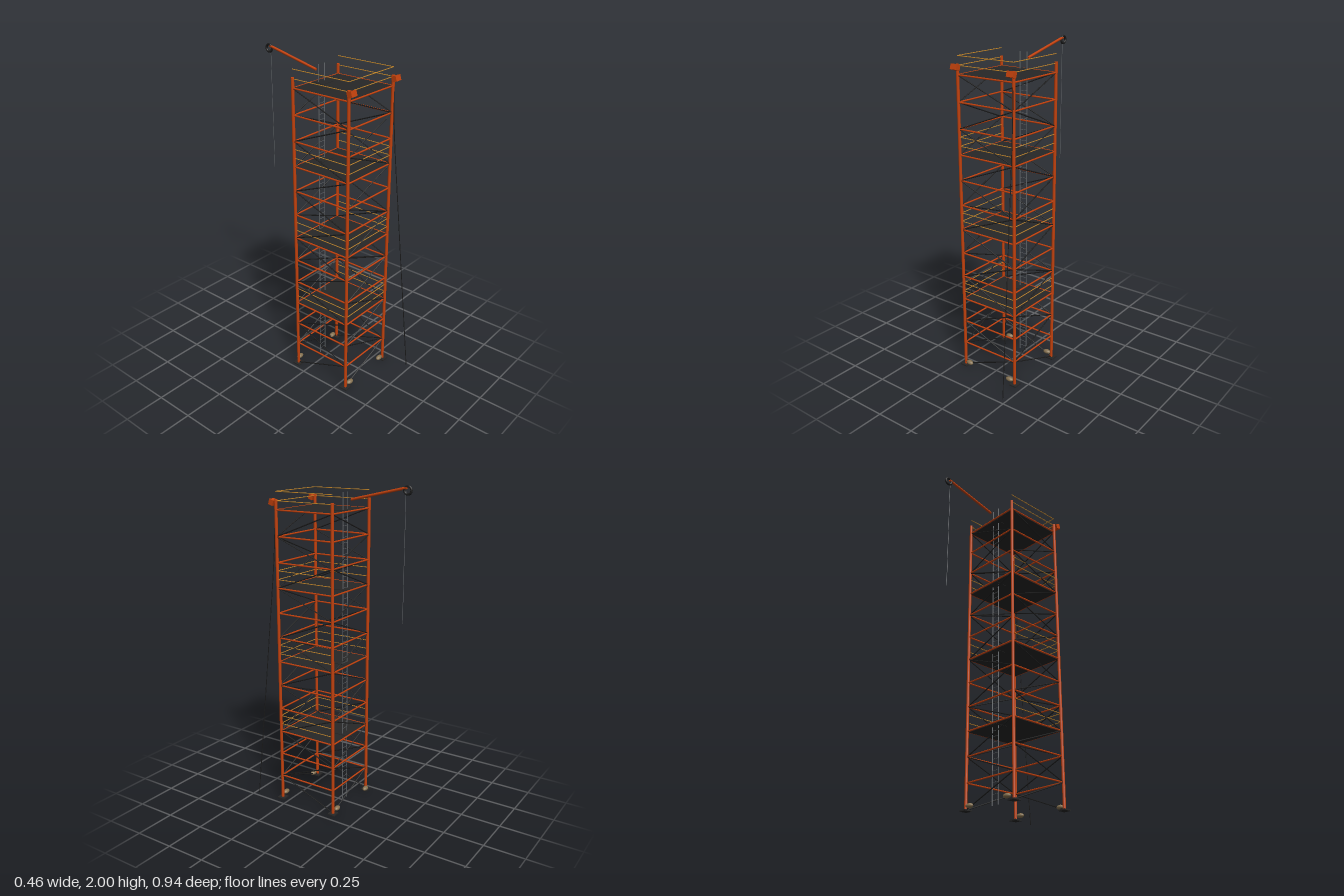
import * as THREE from 'three';

const mat = (name, color) => {
  const m = new THREE.MeshStandardMaterial({ color });
  m.name = name;
  return m;
};

export function createModel() {
  const orange = mat('orange paint', 0xc2410c);
  const deckGrey = mat('deck grey', 0x272727);
  const black = mat('black steel', 0x1c1c1c);
  const steel = mat('ladder steel', 0x666a6e);
  const ochre = mat('ochre rail', 0xc98a2b);
  const tan = mat('sandbag tan', 0x857150);

  const model = new THREE.Group();
  model.name = 'scaffoldTower';
  const V = (x, y, z) => new THREE.Vector3(x, y, z);

  const add = (name, geo, material, pos) => {
    const mesh = new THREE.Mesh(geo, material);
    mesh.name = name;
    if (pos) mesh.position.copy(pos);
    model.add(mesh);
    return mesh;
  };
  const box = (name, w, h, d, material, pos) => add(name, new THREE.BoxGeometry(w, h, d), material, pos);
  // Round bar between two points
  const bar = (name, a, b, r, material, sides = 8) => {
    const dir = b.clone().sub(a);
    const mesh = add(name, new THREE.CylinderGeometry(r, r, dir.length(), sides), material,
      a.clone().add(b).multiplyScalar(0.5));
    mesh.quaternion.setFromUnitVectors(V(0, 1, 0), dir.normalize());
    return mesh;
  };

  const X0 = -0.203, X1 = 0.186, Z0 = -0.084, Z1 = 0.305;
  const CX = (X0 + X1) / 2, CZ = (Z0 + Z1) / 2;
  const BAYS = 12;
  const level = (i) => 0.008 + 0.1527 * i;

  // Corner posts on base plates
  for (const x of [X0, X1]) for (const z of [Z0, Z1]) {
    bar('post', V(x, 0.006, z), V(x, 1.9, z), 0.0095, orange, 12);
    box('basePlate', 0.05, 0.008, 0.05, deckGrey, V(x, 0.004, z));
  }

  // Four sides; each starts where its lowest brace meets the ground
  const sides = [
    { name: 'front', a: [X0, Z1], b: [X1, Z1], rail: true },
    { name: 'left', a: [X1, Z0], b: [X1, Z1], rail: true },
    { name: 'back', a: [X1, Z0], b: [X0, Z0], rail: false },
    { name: 'right', a: [X0, Z0], b: [X0, Z1], rail: true },
  ];
  for (const { name, a, b, rail } of sides) {
    const A = (y) => V(a[0], y, a[1]), B = (y) => V(b[0], y, b[1]);
    for (let i = 0; i < BAYS; i++) {
      const lo = level(i), hi = level(i + 1);
      bar(name + 'Ledger', A(hi), B(hi), 0.005, orange);
      // Zigzag braces
      if (i % 2 === 0) bar(name + 'Brace', A(lo), B(hi), 0.0035, black, 6);
      else bar(name + 'Brace', B(lo), A(hi), 0.0035, black, 6);
    }
    // Guard rails above each deck
    if (rail) for (let i = 3; i <= BAYS; i += 3) for (const h of [0.052, 0.105])
      bar(name + 'GuardRail', A(level(i) + h), B(level(i) + h), 0.0024, ochre, 8);
  }

  // Decks with hatch plates
  for (let i = 3; i <= BAYS; i += 3) {
    box('deck', 0.379, 0.008, 0.379, deckGrey, V(CX, level(i) - 0.001, CZ));
    box('hatch', 0.091, 0.012, 0.082, deckGrey, V(CX - 0.0015, level(i), -0.034));
  }

  // Ladder
  const LX = [-0.035, 0.014], LZ = -0.042;
  for (const x of LX) bar('ladderStile', V(x, 0.01, LZ), V(x, 1.946, LZ), 0.0028, steel, 6);
  for (let y = 0.04; y < 1.82; y += 0.033)
    bar('ladderRung', V(LX[0], y, LZ), V(LX[1], y, LZ), 0.0015, steel, 5);

  // Hoist arm, pulley wheel and rope
  bar('hoistArm', V(CX, 1.905, Z0), V(CX, 1.985, -0.435), 0.0078, orange, 10);
  add('pulley', new THREE.TorusGeometry(0.0215, 0.0068, 10, 28), black, V(CX, 1.9715, -0.4415))
    .rotation.y = Math.PI / 2;
  bar('hoistRope', V(CX, 1.23, -0.43), V(CX, 1.965, -0.43), 0.0016, steel, 6);

  // Lamps on the front posts
  for (const x of [X0, X1])
    box('lamp', 0.045, 0.032, 0.031, orange, V(x, 1.885, 0.324)).rotation.x = -0.32;

  // Power cable running to the ground
  const cable = new THREE.CatmullRomCurve3([
    V(0.187, 1.87, 0.31), V(0.19, 1.6, 0.322), V(0.203, 1.0, 0.376), V(0.225, 0.006, 0.47)]);
  add('cable', new THREE.TubeGeometry(cable, 24, 0.0025, 6), black);

  // Sandbags beside the posts
  const bags = [[-0.168, -0.103, 0.05], [0.148, -0.09, 0.1], [-0.166, 0.311, -0.1], [0.148, 0.306, 0.05]];
  for (const [x, z, turn] of bags) {
    const bag = add('sandbag', new THREE.SphereGeometry(1, 16, 10), tan, V(x, 0.027, z));
    bag.scale.set(0.026, 0.014, 0.016);
    bag.rotation.y = turn;
  }

  return model;
}
